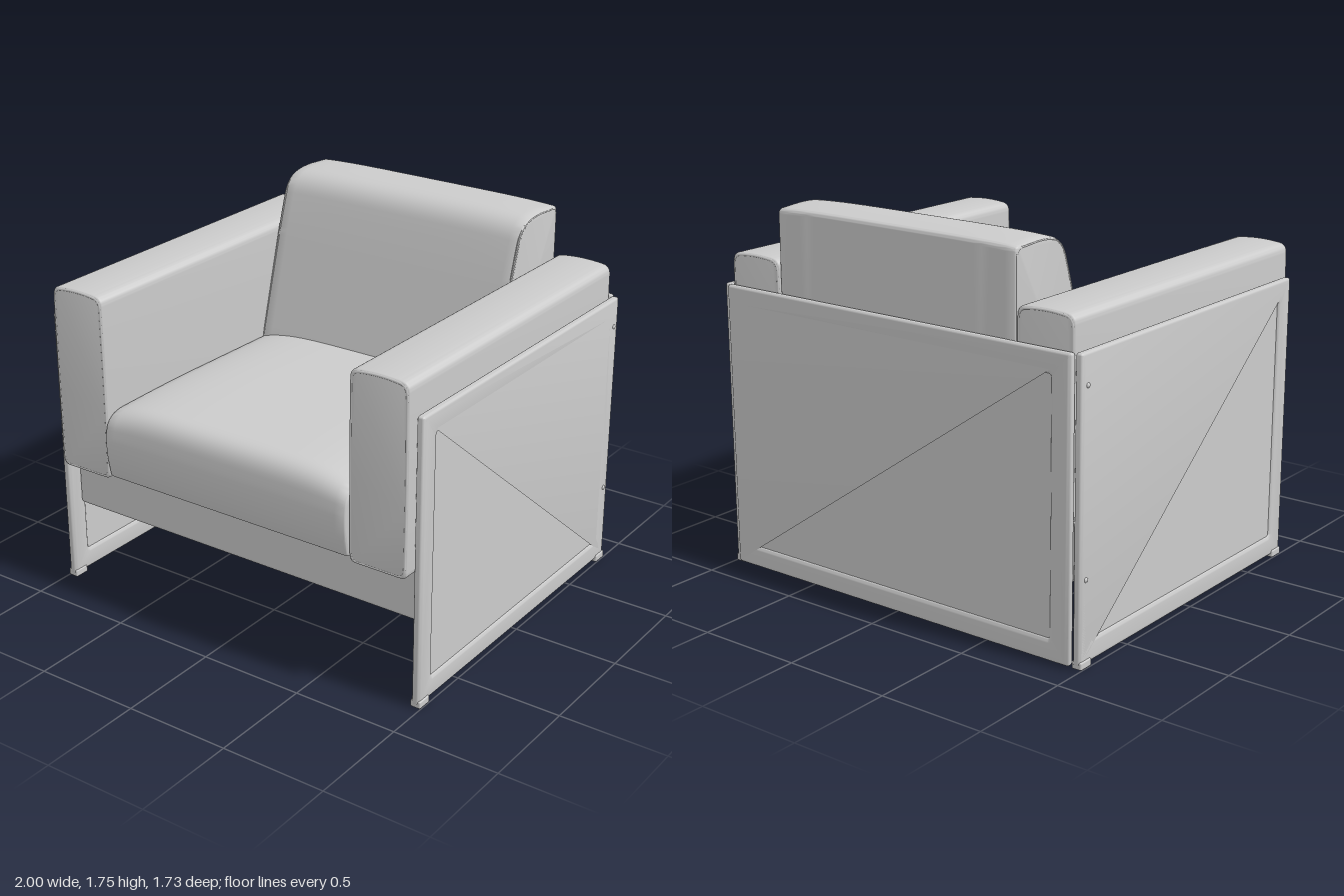
import * as THREE from 'three';
import { toCreasedNormals } from 'three/addons/utils/BufferGeometryUtils.js';
import { RoundedBoxGeometry } from 'three/addons/geometries/RoundedBoxGeometry.js';

const material = new THREE.MeshStandardMaterial({ color: 0xcccccc });

function add(parent, name, geometry, x = 0, y = 0, z = 0) {
  const mesh = new THREE.Mesh(geometry, material);
  mesh.name = name;
  mesh.position.set(x, y, z);
  parent.add(mesh);
  return mesh;
}

// Closed outline from corners [x, y, radius], each corner rounded by its radius
function outline(corners, Type = THREE.Shape) {
  const path = new Type();
  const n = corners.length;
  corners.forEach(([x, y, r], i) => {
    const c = new THREE.Vector2(x, y);
    const toward = ([px, py]) =>
      new THREE.Vector2(px, py).sub(c).setLength(r).add(c);
    const a = toward(corners[(i + n - 1) % n]);
    const b = toward(corners[(i + 1) % n]);
    if (i === 0) path.moveTo(a.x, a.y);
    else path.lineTo(a.x, a.y);
    path.quadraticCurveTo(x, y, b.x, b.y);
  });
  path.closePath();
  return path;
}

const rectangle = (w, h, r) =>
  [[-w, -h, r], [w, -h, r], [w, h, r], [-w, h, r]].map(([x, y, q]) => [x / 2, y / 2, q]);

// Soft-edged extrusion, centred along its own z
function extrude(shape, length, bevel, thickness = bevel, steps = 1) {
  const geo = new THREE.ExtrudeGeometry(shape, {
    depth: length - 2 * thickness, steps, curveSegments: 10,
    bevelSize: bevel, bevelThickness: thickness, bevelOffset: -bevel, bevelSegments: 4,
  });
  return geo.translate(0, 0, thickness - length / 2);
}

// Piping that follows an outline, slightly inside it
function piping(shape, inset, radius, z) {
  const pts = shape.getSpacedPoints(100).slice(0, -1);
  const box = new THREE.Box2().setFromPoints(pts);
  const mid = box.getCenter(new THREE.Vector2());
  const size = box.getSize(new THREE.Vector2());
  const path = pts.map((p) => new THREE.Vector3(
    mid.x + (p.x - mid.x) * (1 - 2 * inset / size.x),
    mid.y + (p.y - mid.y) * (1 - 2 * inset / size.y), z));
  return new THREE.TubeGeometry(new THREE.CatmullRomCurve3(path, true), 140, radius, 8, true);
}

// Panel with a raised rounded border and a recessed field on both faces
function panel(name, w, h, t) {
  const group = new THREE.Group();
  group.name = name;
  const border = outline(rectangle(w, h, 0.015));
  border.holes.push(outline(rectangle(w - 0.2, h - 0.2, 0.015), THREE.Path));
  add(group, 'panelBorder', toCreasedNormals(extrude(border, t, 0.02, 0.011), 0.6));
  add(group, 'panelField', new THREE.BoxGeometry(w - 0.18, h - 0.18, t - 0.02));
  return group;
}

// Cushion whose side profile (z, y) runs across x, with its top falling at the ends
function wideCushion(name, corners, width, drop, fromY, toY, piped) {
  const group = new THREE.Group();
  group.name = name;
  const shape = outline(corners);
  const parts = [[name + 'Body', extrude(shape, width, 0.014, 0.014, 32)]];
  if (piped) {
    for (const s of [-1, 1]) {
      parts.push([name + 'Piping', piping(shape, 0.012, 0.007, s * (width / 2 - 0.006))]);
    }
  }
  for (const [label, geo] of parts) {
    geo.rotateY(-Math.PI / 2);
    const p = geo.attributes.position;
    for (let i = 0; i < p.count; i++) {
      const t = Math.min(1, Math.abs(p.getX(i)) / (width / 2));
      const k = THREE.MathUtils.smoothstep(p.getY(i), fromY, toY);
      p.setY(i, p.getY(i) - drop * k * t ** 5);
    }
    add(group, label, toCreasedNormals(geo, 0.6));
  }
  return group;
}

export function createModel() {
  const chair = new THREE.Group();
  chair.name = 'armchair';

  // Back panel and base frame
  const back = panel('backPanel', 1.91, 1.335, 0.035);
  back.position.set(0, 0.6825, -0.8475);
  chair.add(back);
  add(chair, 'baseFrame', new RoundedBoxGeometry(1.915, 0.265, 1.57, 4, 0.02), 0, 0.5075, -0.045);

  // Seat and back cushions
  chair.add(wideCushion('seatCushion', [
    [-0.8, 0.635, 0.02], [0.845, 0.635, 0.025], [0.873, 0.79, 0.07],
    [0.852, 0.995, 0.1], [0.4, 1.006, 0.2], [-0.8, 0.99, 0.02],
  ], 1.315, 0.045, 0.8, 1.0, false));
  chair.add(wideCushion('backCushion', [
    [-0.828, 0.66, 0.02], [-0.24, 0.66, 0.02], [-0.29, 0.96, 0.05], [-0.44, 1.5, 0.1],
    [-0.515, 1.735, 0.09], [-0.66, 1.75, 0.05], [-0.828, 1.738, 0.025],
  ], 1.31, 0.01, 1.5, 1.74, true));

  // Arm cushion: slightly domed top, piped at both ends
  const armShape = outline([
    [-0.143, 0.62, 0.035], [0.143, 0.62, 0.035], [0.147, 1.06, 0.2],
    [0.143, 1.495, 0.04], [0, 1.511, 0.09], [-0.143, 1.495, 0.04], [-0.147, 1.06, 0.2],
  ]);
  const armBody = toCreasedNormals(extrude(armShape, 1.675, 0.014), 0.6);
  const foot = new RoundedBoxGeometry(0.05, 0.035, 0.075, 3, 0.007);
  const bolt = new THREE.SphereGeometry(0.013, 16, 10);

  for (const [s, side] of [[1, 'left'], [-1, 'right']]) {
    const arm = new THREE.Group();
    arm.name = side + 'Arm';
    arm.position.set(s * 0.803, 0, 0.0075);
    add(arm, 'armCushion', armBody);
    for (const e of [-1, 1]) {
      add(arm, 'armPiping', piping(armShape, 0.011, 0.007, e * 0.832));
    }
    chair.add(arm);

    // Side panel with its feet and bolts
    const board = panel(side + 'SidePanel', 1.645, 1.335, 0.038);
    board.rotation.y = Math.PI / 2;
    board.position.set(s * 0.974, 0.6825, -0.0175);
    chair.add(board);
    for (const z of [0.765, -0.8]) add(chair, side + 'Foot', foot, s * 0.975, 0.0175, z);
    for (const y of [0.39, 1.215]) add(chair, side + 'Bolt', bolt, s * 0.987, y, -0.8);
  }
  return chair;
}
